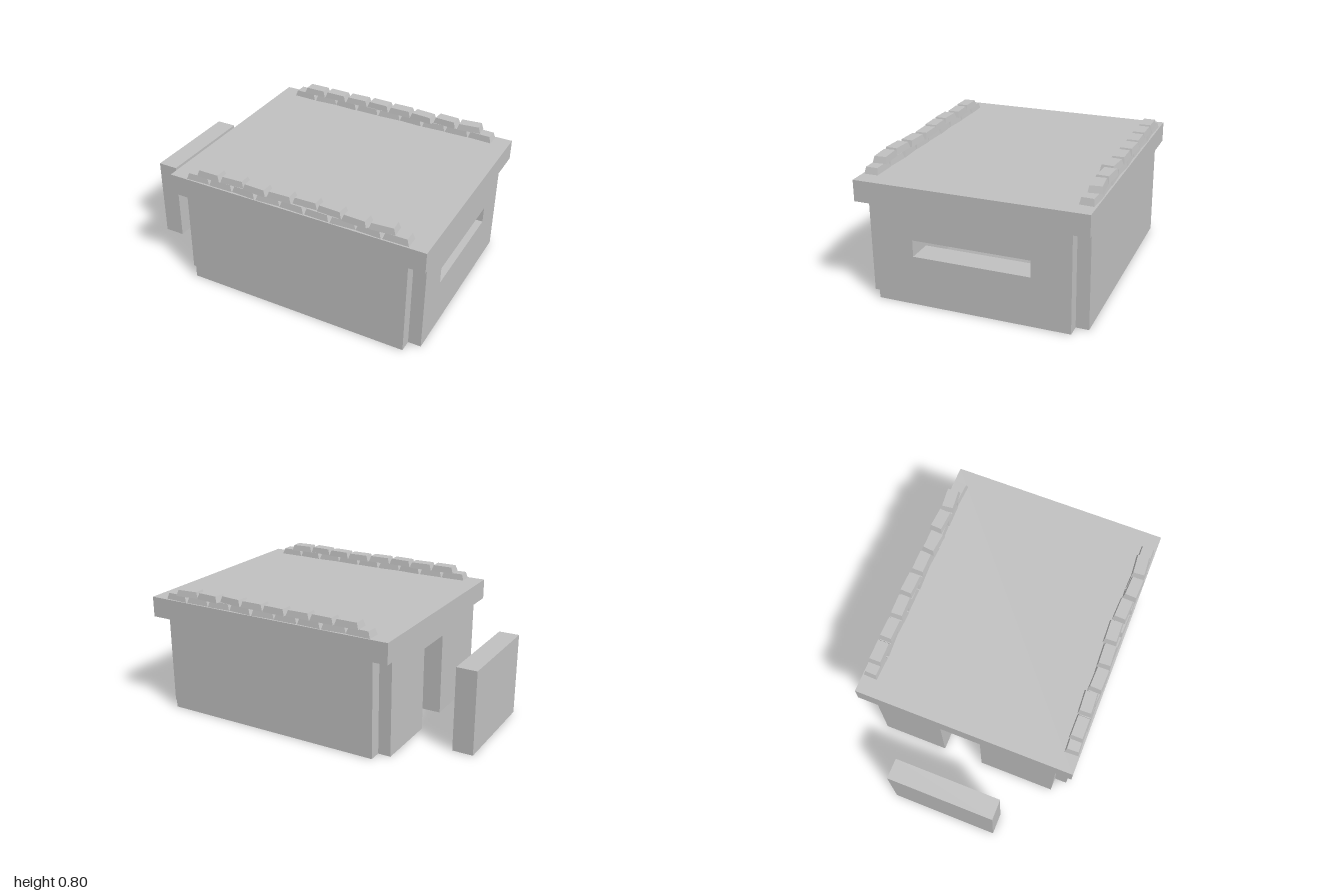
import * as THREE from 'three';

const concrete = new THREE.MeshStandardMaterial({ color: 0xc0c0c0 });
concrete.name = 'concrete grey';

function add(parent, name, geometry, x, y, z) {
  const mesh = new THREE.Mesh(geometry, concrete);
  mesh.name = name;
  mesh.position.set(x, y, z);
  parent.add(mesh);
  return mesh;
}

// Box given by its two extreme corners
function block(parent, name, [x0, y0, z0], [x1, y1, z1]) {
  return add(parent, name, new THREE.BoxGeometry(x1 - x0, y1 - y0, z1 - z0),
    (x0 + x1) / 2, (y0 + y1) / 2, (z0 + z1) / 2);
}

// Wall in the z-y plane; its outline becomes (z, y) and it runs from outerX toward -x
function sideWall(parent, name, shape, x) {
  const geometry = new THREE.ExtrudeGeometry(shape, { depth: 0.155, bevelEnabled: false });
  geometry.rotateY(-Math.PI / 2);
  return add(parent, name, geometry, x, 0, 0);
}

const outline = (points) => points.map(([a, b]) => new THREE.Vector2(a, b));

// Tapered sandbag block standing on y = 0
function bagGeometry() {
  const geometry = new THREE.BoxGeometry(0.152, 0.038, 0.084).translate(0, 0.019, 0);
  const p = geometry.attributes.position;
  for (let i = 0; i < p.count; i++) {
    if (p.getY(i) > 0.01) p.setXYZ(i, p.getX(i) * 0.83, p.getY(i), p.getZ(i) * 0.83);
  }
  geometry.computeVertexNormals();
  return geometry;
}

export function createModel() {
  const model = new THREE.Group();
  model.name = 'bunker';

  // Roof slab and free-standing blast wall before the doorway
  block(model, 'roof', [-0.625, 0.598, -0.682], [1, 0.725, 0.682]);
  block(model, 'blastWall', [-1, 0, -0.335], [-0.873, 0.517, 0.335]);

  // Long walls, ending halfway into the side walls so the corners are notched
  block(model, 'frontWall', [-0.522, 0, 0.502], [0.892, 0.598, 0.657]);
  block(model, 'backWall', [-0.522, 0, -0.657], [0.892, 0.598, -0.502]);

  // Side wall with a firing slot
  const slotted = new THREE.Shape(outline([[-0.58, 0], [0.58, 0], [0.58, 0.598], [-0.58, 0.598]]));
  slotted.holes.push(new THREE.Path(outline([[-0.35, 0.3], [-0.35, 0.4], [0.35, 0.4], [0.35, 0.3]])));
  sideWall(model, 'slotWall', slotted, 0.97);

  // Side wall with a doorway
  const doored = new THREE.Shape(outline([
    [-0.58, 0], [-0.165, 0], [-0.165, 0.517], [0.095, 0.517],
    [0.095, 0], [0.58, 0], [0.58, 0.598], [-0.58, 0.598],
  ]));
  sideWall(model, 'doorWall', doored, -0.445);

  // Two courses of slightly uneven sandbags along the front and back roof edges
  const bag = bagGeometry();
  const rows = {
    frontSandbags: {
      z: [0.627, 0.62, 0.632, 0.627, 0.612, 0.62, 0.635, 0.627],
      yaw: [0, 0.05, -0.03, 0.04, 0.03, -0.04, -0.05, 0.08],
    },
    backSandbags: {
      z: [-0.632, -0.632, -0.634, -0.638, -0.632, -0.622, -0.638, -0.638, ],
      yaw: [0, -0.02, 0.02, -0.04, 0, -0.1, -0.07, 0.1],
    },
  };
  for (const [name, { z, yaw }] of Object.entries(rows)) {
    const row = new THREE.Group();
    row.name = name;
    const middle = Math.sign(z[0]) * 0.63;
    for (let i = 0; i < 9; i++) {
      const lower = add(row, 'lowerSandbag', bag, -0.438 + i * 0.157, 0.725, middle);
      lower.rotation.y = 0.06 * Math.sin(i * 2.3 + middle);
    }
    for (let i = 0; i < 8; i++) {
      const upper = add(row, 'upperSandbag', bag, -0.365 + i * 0.157, 0.762, z[i]);
      upper.rotation.y = yaw[i];
    }
    model.add(row);
  }
  return model;
}
